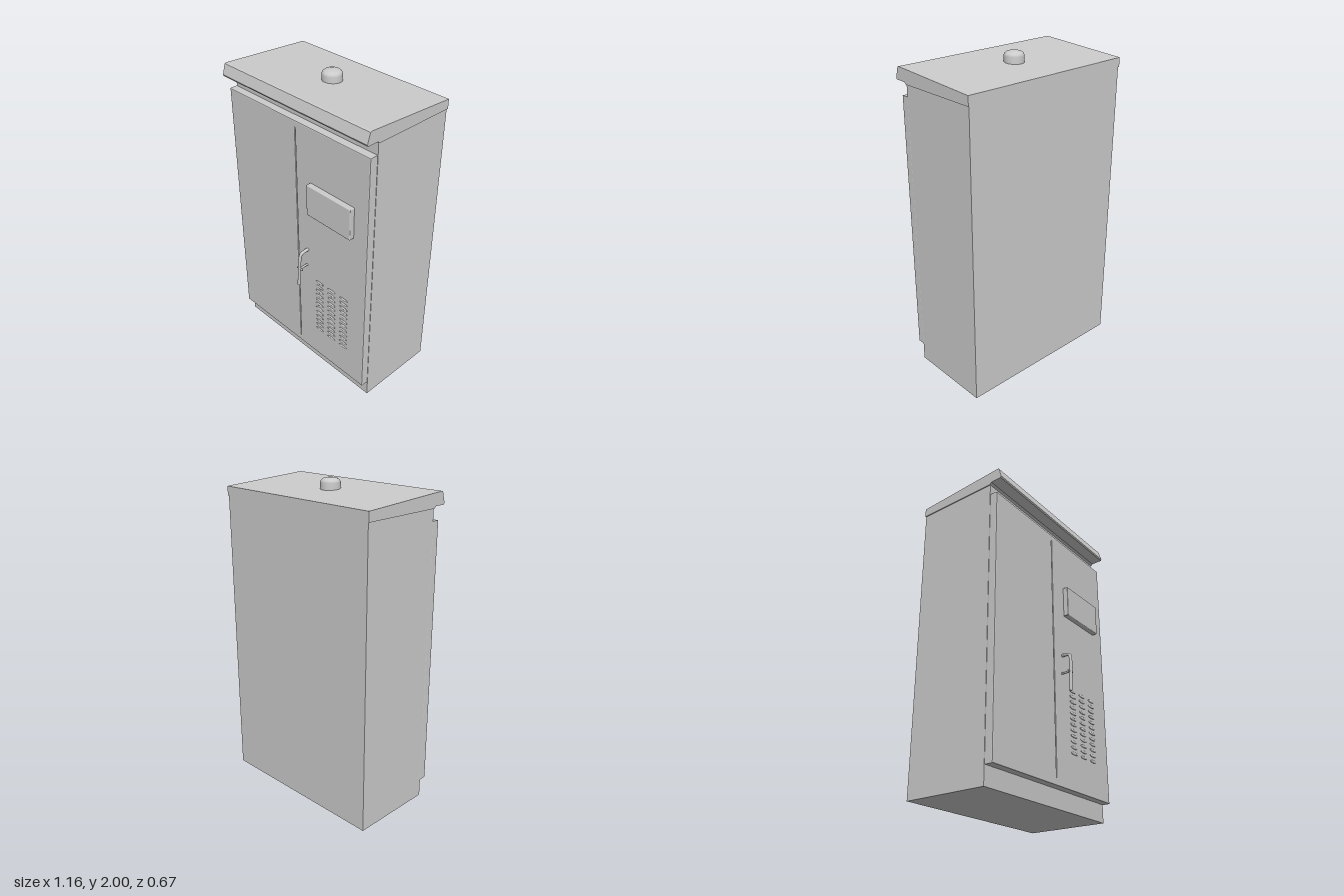
import * as THREE from 'three';
import { RoundedBoxGeometry } from 'three/addons/geometries/RoundedBoxGeometry.js';

const material = new THREE.MeshStandardMaterial({ color: 0xcccccc });

function add(parent, name, geometry, x = 0, y = 0, z = 0) {
  const mesh = new THREE.Mesh(geometry, material);
  mesh.name = name;
  mesh.position.set(x, y, z);
  parent.add(mesh);
  return mesh;
}

// Extrudes a side profile of [z, y] points across the cabinet's width
function sideExtrude(points, width) {
  const shape = new THREE.Shape(points.map(([z, y]) => new THREE.Vector2(z, y)));
  const geometry = new THREE.ExtrudeGeometry(shape, { depth: width, bevelEnabled: false });
  return geometry.translate(0, 0, -width / 2).rotateY(-Math.PI / 2);
}

// Adds a closed rectangle to a shape or a path
function rectangle(path, x0, y0, x1, y1) {
  path.moveTo(x0, y0);
  path.lineTo(x1, y0);
  path.lineTo(x1, y1);
  path.lineTo(x0, y1);
  path.closePath();
  return path;
}

export function createModel() {
  const cabinet = new THREE.Group();
  cabinet.name = 'electricalCabinet';

  // Body with plinth, and a sloped roof with a front lip
  add(cabinet, 'body', sideExtrude(
    [[-0.327, 0], [0.213, 0], [0.213, 1.87], [-0.327, 1.87]], 1.15));
  add(cabinet, 'roof', sideExtrude(
    [[-0.33, 1.86], [0.213, 1.86], [0.225, 1.872], [0.297, 1.872], [0.302, 1.882],
      [0.283, 1.946], [0.275, 1.95], [-0.33, 1.918]], 1.162));

  // Pair of doors parted by a shallow slot
  const front = rectangle(new THREE.Shape(), -0.568, 0.118, 0.568, 1.782);
  front.holes.push(rectangle(new THREE.Path(), -0.008, 0.15, 0.008, 1.75));
  add(cabinet, 'doors', new THREE.ExtrudeGeometry(front, {
    depth: 0.042, bevelThickness: 0.006, bevelSize: 0.006, bevelSegments: 2,
  }), 0, 0, 0.217);
  add(cabinet, 'doorSlot', new THREE.BoxGeometry(0.04, 1.62, 0.03), 0, 0.95, 0.228);

  // Display housing on the model's left door
  add(cabinet, 'displayPanel', new RoundedBoxGeometry(0.35, 0.205, 0.05, 2, 0.005), 0.295, 1.337, 0.273);

  // Handle bent down from its pivot, with a cross pin
  const handle = new THREE.Group();
  handle.name = 'handle';
  cabinet.add(handle);
  const bend = new THREE.CatmullRomCurve3([
    [0.088, 0.943, 0.255], [0.088, 0.943, 0.29], [0.087, 0.936, 0.317],
    [0.084, 0.905, 0.327], [0.078, 0.8, 0.329], [0.072, 0.695, 0.33],
  ].map((p) => new THREE.Vector3(...p)));
  add(handle, 'handleBar', new THREE.TubeGeometry(bend, 40, 0.01, 10));
  const end = add(handle, 'handleEnd', new THREE.SphereGeometry(0.01, 10, 8), 0.072, 0.695, 0.33);
  end.scale.y = 0.7;
  add(handle, 'handleSupport', new THREE.CylinderGeometry(0.007, 0.007, 0.07, 8).rotateX(Math.PI / 2), 0.079, 0.82, 0.295);
  add(handle, 'crossPin', new THREE.CylinderGeometry(0.006, 0.006, 0.045, 8).rotateZ(Math.PI / 2), 0.08, 0.82, 0.325);

  // Three columns of low ventilation louvres
  const vents = new THREE.Group();
  vents.name = 'vents';
  cabinet.add(vents);
  const louvre = new THREE.SphereGeometry(1, 12, 6).scale(0.034, 0.009, 0.006);
  for (const x of [0.19, 0.295, 0.4]) {
    for (let row = 0; row < 12; row++) add(vents, 'louvre', louvre, x, 0.34 + row * 0.036, 0.265);
  }

  // Domed beacon on the roof
  const dome = [[0.06, 0], [0.06, 0.047], [0.056, 0.058], [0.046, 0.067], [0.025, 0.073], [0, 0.075]];
  add(cabinet, 'beacon', new THREE.LatheGeometry(
    dome.map(([r, y]) => new THREE.Vector2(r, y)), 32), -0.005, 1.925, -0.028);

  return cabinet;
}
